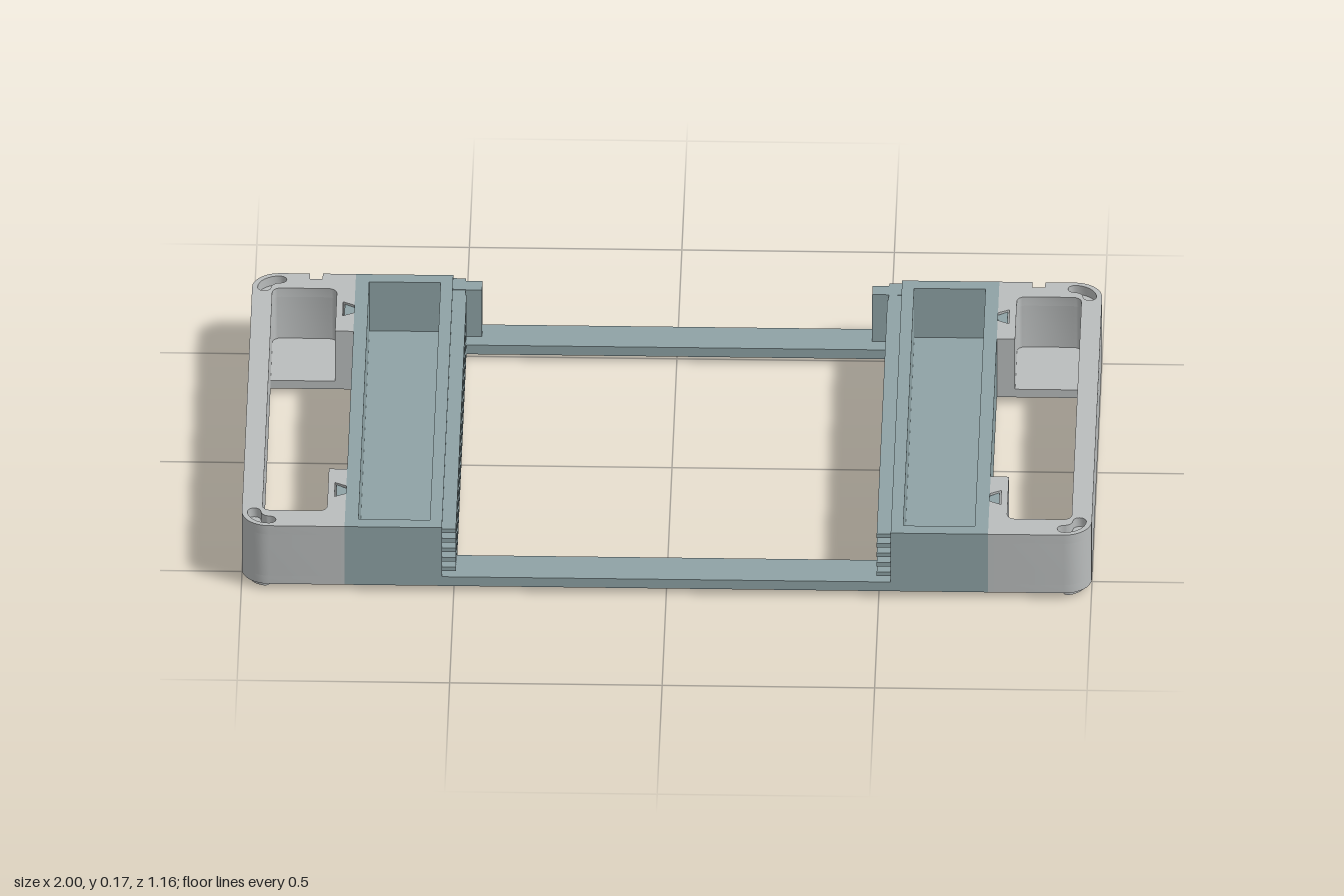
import * as THREE from 'three';
import { toCreasedNormals } from 'three/addons/utils/BufferGeometryUtils.js';

const grey = new THREE.MeshStandardMaterial({ color: 0xbabdbd });
grey.name = 'light grey';
const teal = new THREE.MeshStandardMaterial({ color: 0x8fa3a6 });
teal.name = 'grey teal';

const BASE = 0.015, FLOOR = 0.037, TOP = 0.174, DEPTH = 0.58;
const SEAM = 0.757; // where tray and end block meet
const H = Math.PI / 2;

// Points [x, z] on an arc
function arc(cx, cz, r, a0, a1, n = 8) {
  return Array.from({ length: n + 1 }, (_, i) => {
    const a = a0 + (a1 - a0) * i / n;
    return [cx + r * Math.cos(a), cz + r * Math.sin(a)];
  });
}
const rect = (x0, x1, z0, z1) => [[x0, z0], [x1, z0], [x1, z1], [x0, z1]];

// Plan outline [x, z] extruded between two heights, on side s (+1 or -1)
function slab(name, material, s, outline, y0, y1, holes = []) {
  // Outlines run anticlockwise and holes clockwise, so every wall faces outwards
  const loop = (list, clockwise) => {
    const pts = list.map(([x, z]) => new THREE.Vector2(s * x, z));
    return THREE.ShapeUtils.isClockWise(pts) === clockwise ? pts : pts.reverse();
  };
  const shape = new THREE.Shape(loop(outline, false));
  shape.holes = holes.map((h) => new THREE.Path(loop(h, true)));
  let geo = new THREE.ExtrudeGeometry(shape, { depth: y1 - y0, bevelEnabled: false });
  geo.rotateX(H);
  geo.translate(0, y1, 0);
  geo = toCreasedNormals(geo, 0.6);
  const mesh = new THREE.Mesh(geo, material);
  mesh.name = name;
  return mesh;
}

// Curved slot with round ends that follows a corner; trim shortens it at both ends
function cornerSlot(sz, half, trim) {
  const cx = 0.935, cz = 0.515, r = 0.036, a = trim, b = H - trim;
  const end = (t) => [cx + r * Math.cos(t), cz + r * Math.sin(t)];
  return [
    ...arc(cx, cz, r + half, a, b),
    ...arc(...end(b), half, b, b + 2 * H, 6).slice(1),
    ...arc(cx, cz, r - half, b, a).slice(1),
    ...arc(...end(a), half, a - 2 * H, a, 6).slice(1, -1),
  ].map(([x, z]) => [x, z * sz]);
}

// Dovetail plan, widened by a gap for the slot that receives it
const dovetail = (z, gap = 0) => [
  [SEAM, z - 0.013 - gap], [0.78 + gap, z - 0.028 - gap],
  [0.78 + gap, z + 0.028 + gap], [SEAM, z + 0.013 + gap],
];
const DOVETAIL_Z = [0.41, -0.42];

// Outline of an end block; pocketed = hollow corners, notched = cut in the back edge
function endOutline(pocketed, notched) {
  const r = 0.065, c = 1 - r, d = DEPTH - r;
  const notch = notched ? [[0.835, -DEPTH], [0.835, -0.555], [0.865, -0.555], [0.865, -DEPTH]] : [];
  const inner = pocketed
    ? [[0.8, 0.315], ...arc(0.82, 0.488, 0.02, 2 * H, H, 4), ...arc(0.932, 0.488, 0.02, H, 0, 4),
      ...arc(0.932, -0.492, 0.02, 0, -H, 4), ...arc(0.82, -0.492, 0.02, -H, -2 * H, 4), [0.8, -0.317]]
    : [[0.952, 0.315], [0.952, -0.317]];
  return [
    [SEAM, -DEPTH], ...notch,
    ...arc(c, -d, r, -H, 0), ...arc(c, d, r, 0, H),
    [SEAM, DEPTH], ...dovetail(DOVETAIL_Z[0], 0.004).reverse(), [SEAM, 0.315],
    ...inner,
    [SEAM, -0.317], ...dovetail(DOVETAIL_Z[1], 0.004).reverse(),
  ];
}

function endBlock(s) {
  const g = new THREE.Group();
  g.name = s > 0 ? 'leftEndBlock' : 'rightEndBlock';
  const sockets = [1, -1].map((sz) => cornerSlot(sz, 0.016, 0));
  g.add(
    slab('endFloor', grey, s, endOutline(false, true), BASE, FLOOR),
    slab('endWalls', grey, s, endOutline(true, false), FLOOR, 0.15),
    slab('endRim', grey, s, endOutline(true, true), 0.15, TOP, sockets),
  );
  for (const sz of [1, -1]) g.add(slab('foot', grey, s, cornerSlot(sz, 0.013, 0.28), 0, BASE));
  return g;
}

function sideTray(s) {
  const g = new THREE.Group();
  g.name = s > 0 ? 'leftTray' : 'rightTray';
  // Open tray on the base plate
  g.add(slab('trayWalls', teal, s, rect(0.528, SEAM, -DEPTH, DEPTH), FLOOR, TOP,
    [rect(0.557, 0.725, -0.545, 0.545)]));
  // Dovetail keys that join the end block
  for (const z of DOVETAIL_Z) g.add(slab('dovetailKey', teal, s, dovetail(z), BASE, TOP - 0.004));
  // Stack of guide rails on the inner wall
  for (let i = 0; i < 5; i++) {
    const y = 0.053 + i * 0.026;
    g.add(slab('guideRail', teal, s, rect(0.495, 0.528, -0.5, 0.575), y, y + 0.011));
  }
  // Stop post and plate at the back of the rails
  g.add(
    slab('stopPost', teal, s, rect(0.498, 0.528, -0.578, -0.5), FLOOR, 0.167),
    slab('stopPlate', teal, s, rect(0.459, 0.528, -0.564, -0.524), BASE, 0.168),
  );
  return g;
}

export function createModel() {
  const model = new THREE.Group();
  model.name = 'railTrayFrame';
  // Base plate with the large window
  model.add(slab('basePlate', teal, 1, rect(-SEAM, SEAM, -DEPTH, DEPTH), BASE, FLOOR + 0.003,
    [rect(-0.495, 0.495, -0.485, 0.48)]));
  for (const s of [1, -1]) model.add(endBlock(s), sideTray(s));
  return model;
}
